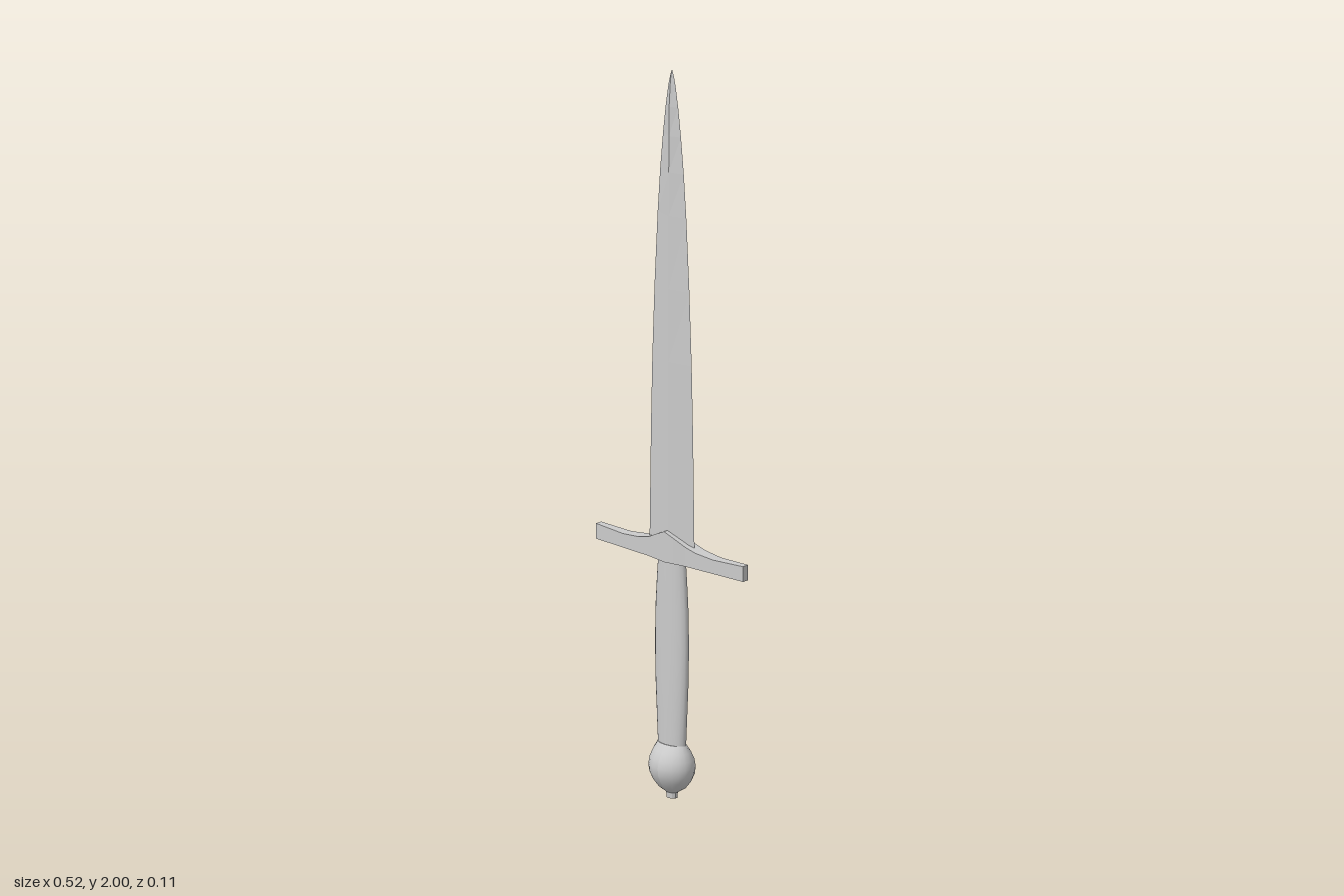
import * as THREE from 'three';

const smooth = new THREE.MeshStandardMaterial({ color: 0xcccccc });
const flat = new THREE.MeshStandardMaterial({ color: 0xcccccc, flatShading: true });

// Upright loft through sections [y, half width in x, half depth in z]
function loft(name, sections, sides, material) {
  const n = sections.length - 1;
  const geo = new THREE.CylinderGeometry(1, 1, 1, sides, n);
  const p = geo.attributes.position;
  for (let i = 0; i < p.count; i++) {
    const [y, rx, rz] = sections[Math.round((p.getY(i) + 0.5) * n)];
    p.setXYZ(i, p.getX(i) * rx, y, p.getZ(i) * rz);
  }
  geo.computeVertexNormals();
  const mesh = new THREE.Mesh(geo, material);
  mesh.name = name;
  return mesh;
}

// Crossguard: a box reshaped by [x, top y, half depth], mirrored in x
function crossguard() {
  const rows = [[0, 0.737, 0.031], [0.03, 0.723, 0.026], [0.065, 0.706, 0.02],
    [0.1, 0.697, 0.0185], [0.16, 0.691, 0.015], [0.262, 0.695, 0.01]];
  const n = rows.length - 1;
  const geo = new THREE.BoxGeometry(2, 2, 2, n * 2, 1, 1);
  const p = geo.attributes.position;
  for (let i = 0; i < p.count; i++) {
    const [x, top, depth] = rows[Math.round(Math.abs(p.getX(i)) * n)];
    p.setXYZ(i, Math.sign(p.getX(i)) * x, p.getY(i) > 0 ? top : 0.653, p.getZ(i) * depth);
  }
  const mesh = new THREE.Mesh(geo, flat);
  mesh.name = 'crossguard';
  return mesh;
}

export function createModel() {
  const group = new THREE.Group();
  group.name = 'dagger';

  // Diamond-section blade tapering to a point
  group.add(loft('blade', [
    [0.68, 0.08, 0.018], [1.0, 0.075, 0.016], [1.2, 0.07, 0.015], [1.4, 0.062, 0.014],
    [1.6, 0.051, 0.013], [1.72, 0.042, 0.0125], [1.82, 0.032, 0.012],
    [1.9, 0.022, 0.011], [1.96, 0.012, 0.007], [1.985, 0.006, 0.004], [2, 0.0005, 0.0005],
  ], 4, flat));

  group.add(crossguard());

  // Oval grip, slightly swollen in the middle
  group.add(loft('grip', [
    [0.14, 0.045, 0.024], [0.22, 0.049, 0.0245], [0.32, 0.054, 0.025], [0.42, 0.056, 0.025],
    [0.52, 0.054, 0.025], [0.6, 0.049, 0.0245], [0.66, 0.044, 0.024],
  ], 20, smooth));

  // Rounded pommel with a small end button
  group.add(loft('pommel', [
    [0.016, 0.018, 0.014], [0.03, 0.041, 0.03], [0.05, 0.057, 0.044], [0.07, 0.065, 0.053],
    [0.09, 0.067, 0.055], [0.11, 0.064, 0.051], [0.13, 0.056, 0.041], [0.15, 0.045, 0.026],
  ], 20, smooth));
  group.add(loft('pommelButton', [[0, 0.016, 0.013], [0.022, 0.018, 0.015]], 10, flat));

  return group;
}
